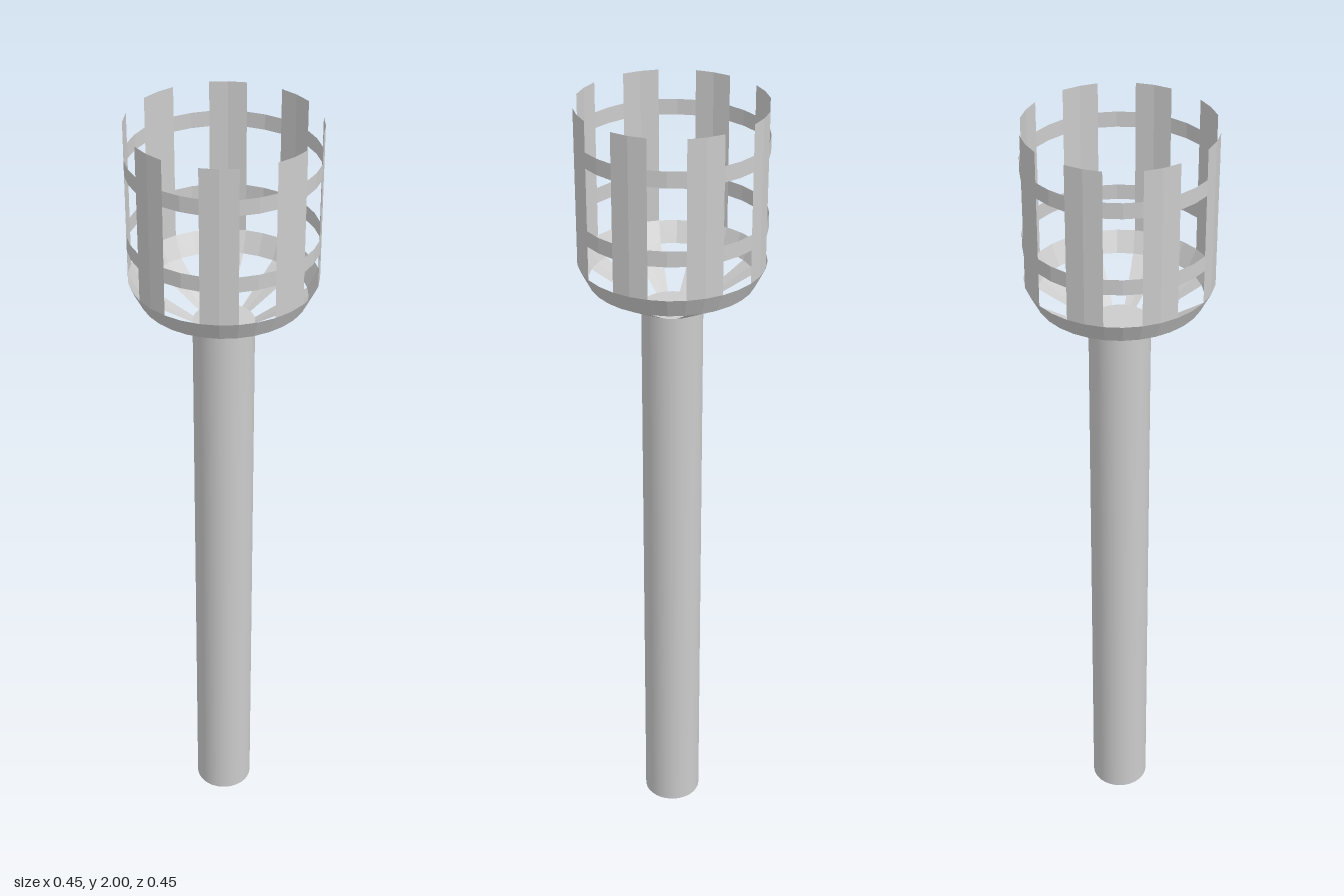
import * as THREE from 'three';

const SIDES = 32;
const RIBS = 8;
const RIB_ANGLE = Math.PI / 8;
const R_POLE = 0.074, R_NECK = 0.198, R_CAGE = 0.223;
const Y_POLE = 1.5, Y_NECK = 1.57, Y_CAGE = 1.62, Y_TOP = 2;

const solid = new THREE.MeshStandardMaterial({ color: 0xcccccc });
const sheet = new THREE.MeshStandardMaterial({ color: 0xcccccc, flatShading: true, side: THREE.DoubleSide });

// Thin wall between two heights, either a full ring or a slice centred on an angle
function wall(name, rBottom, yBottom, rTop, yTop, angle = 0, width = Math.PI * 2) {
  const segments = Math.round(SIDES * width / (Math.PI * 2));
  const geometry = new THREE.CylinderGeometry(
    rTop, rBottom, yTop - yBottom, segments, 1, true, angle - width / 2, width);
  const mesh = new THREE.Mesh(geometry, sheet);
  mesh.name = name;
  mesh.position.y = (yBottom + yTop) / 2;
  return mesh;
}

export function createModel() {
  const model = new THREE.Group();
  model.name = 'torch';

  // Pole
  const pole = new THREE.Mesh(new THREE.CylinderGeometry(R_POLE, R_POLE, Y_POLE, SIDES), solid);
  pole.name = 'pole';
  pole.position.y = Y_POLE / 2;
  model.add(pole);

  // Basket rings: sloping base band and two hoops
  const basket = new THREE.Group();
  basket.name = 'basket';
  basket.add(wall('baseBand', R_NECK, Y_NECK, R_CAGE, Y_CAGE));
  basket.add(wall('lowerHoop', R_CAGE, 1.703, R_CAGE, 1.741));
  basket.add(wall('upperHoop', R_CAGE, 1.89, R_CAGE, 1.928));

  // Spokes flaring out from the pole, each continued by an upright slat
  for (let i = 0; i < RIBS; i++) {
    const angle = i * Math.PI * 2 / RIBS;
    basket.add(wall('spoke', R_POLE, Y_POLE, R_NECK, Y_NECK, angle, RIB_ANGLE));
    basket.add(wall('slat', R_CAGE, Y_CAGE, R_CAGE, Y_TOP, angle, RIB_ANGLE));
  }
  model.add(basket);
  return model;
}
